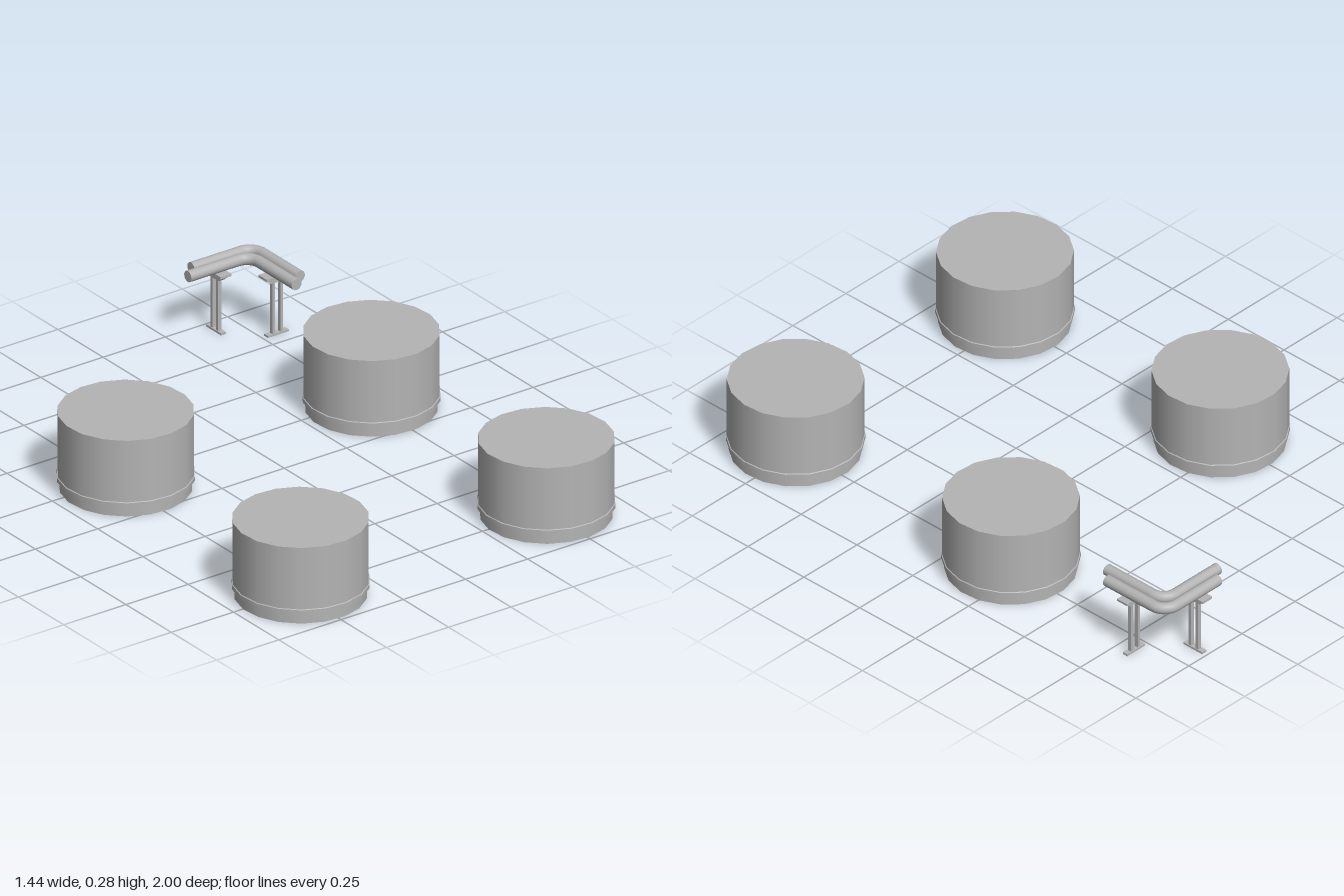
import * as THREE from 'three';

const grey = new THREE.MeshStandardMaterial({ color: 0xb4b4b4, side: THREE.DoubleSide });
grey.name = 'steel grey';

function add(parent, name, geometry, x = 0, y = 0, z = 0) {
  const mesh = new THREE.Mesh(geometry, grey);
  mesh.name = name;
  mesh.position.set(x, y, z);
  parent.add(mesh);
  return mesh;
}

// Open-bottomed tank: narrow skirt, raised band, wall and flat lid
function makeTank(x, z) {
  const tank = new THREE.Group();
  tank.name = 'tank';
  const sides = 18;
  const turn = THREE.MathUtils.degToRad(5);
  const profile = [[0.218, 0], [0.218, 0.038], [0.227, 0.038], [0.227, 0.052], [0.224, 0.054], [0.224, 0.277], [0, 0.277]];
  const names = ['skirt', 'bandUnderside', 'band', 'bandTop', 'wall', 'lid'];
  // one lathe per segment keeps the edges between them sharp
  names.forEach((name, i) => {
    const points = [profile[i], profile[i + 1]].map(([r, y]) => new THREE.Vector2(r, y));
    add(tank, name, new THREE.LatheGeometry(points, sides, turn));
  });
  tank.position.set(x, 0, z);
  return tank;
}

// Pipe running along x, bending at the corner, then running along z
function makePipe(x0, z0, x1, z1) {
  const pipe = new THREE.Group();
  pipe.name = 'pipe';
  const y = 0.24, radius = 0.02, bend = 0.05;
  const v = (x, z) => new THREE.Vector3(x, y, z);
  const path = new THREE.CurvePath();
  path.add(new THREE.LineCurve3(v(x0, z0), v(x1 - bend, z0)));
  const k = bend * 0.45;
  path.add(new THREE.CubicBezierCurve3(v(x1 - bend, z0), v(x1 - k, z0), v(x1, z0 + k), v(x1, z0 + bend)));
  path.add(new THREE.LineCurve3(v(x1, z0 + bend), v(x1, z1)));
  add(pipe, 'pipeBody', new THREE.TubeGeometry(path, 48, radius, 16, false));
  const cap = new THREE.CircleGeometry(radius, 16);
  add(pipe, 'startCap', cap, x0, y, z0).rotation.y = -Math.PI / 2;
  add(pipe, 'endCap', cap, x1, y, z1);
  return pipe;
}

// Pipe stand, its length along its own x
function makeStand(x, z, angle) {
  const stand = new THREE.Group();
  stand.name = 'pipeStand';
  add(stand, 'topFlange', new THREE.BoxGeometry(0.112, 0.008, 0.045), 0, 0.216, 0);
  const web = new THREE.Shape([[-0.054, 0.212], [-0.03, 0.193], [0.03, 0.193], [0.054, 0.212]]
    .map(([px, py]) => new THREE.Vector2(px, py)));
  add(stand, 'taperedWeb', new THREE.ExtrudeGeometry(web, { depth: 0.024, bevelEnabled: false }), 0, 0, -0.012);
  for (const side of [-1, 1]) {
    add(stand, 'post', new THREE.BoxGeometry(0.011, 0.19, 0.014), side * 0.016, 0.1, 0);
  }
  add(stand, 'basePlate', new THREE.BoxGeometry(0.084, 0.007, 0.02), 0, 0.0035, 0);
  stand.position.set(x, 0, z);
  stand.rotation.y = angle;
  return stand;
}

export function createModel() {
  const model = new THREE.Group();
  model.name = 'tankYard';
  for (const x of [-0.495, 0.492]) {
    for (const z of [-0.195, 0.77]) model.add(makeTank(x, z));
  }
  model.add(makePipe(0.33, -0.968, 0.58, -0.71));
  model.add(makePipe(0.285, -0.924, 0.536, -0.668));
  model.add(makeStand(0.413, -0.944, Math.PI / 2));
  model.add(makeStand(0.557, -0.808, 0));
  return model;
}
